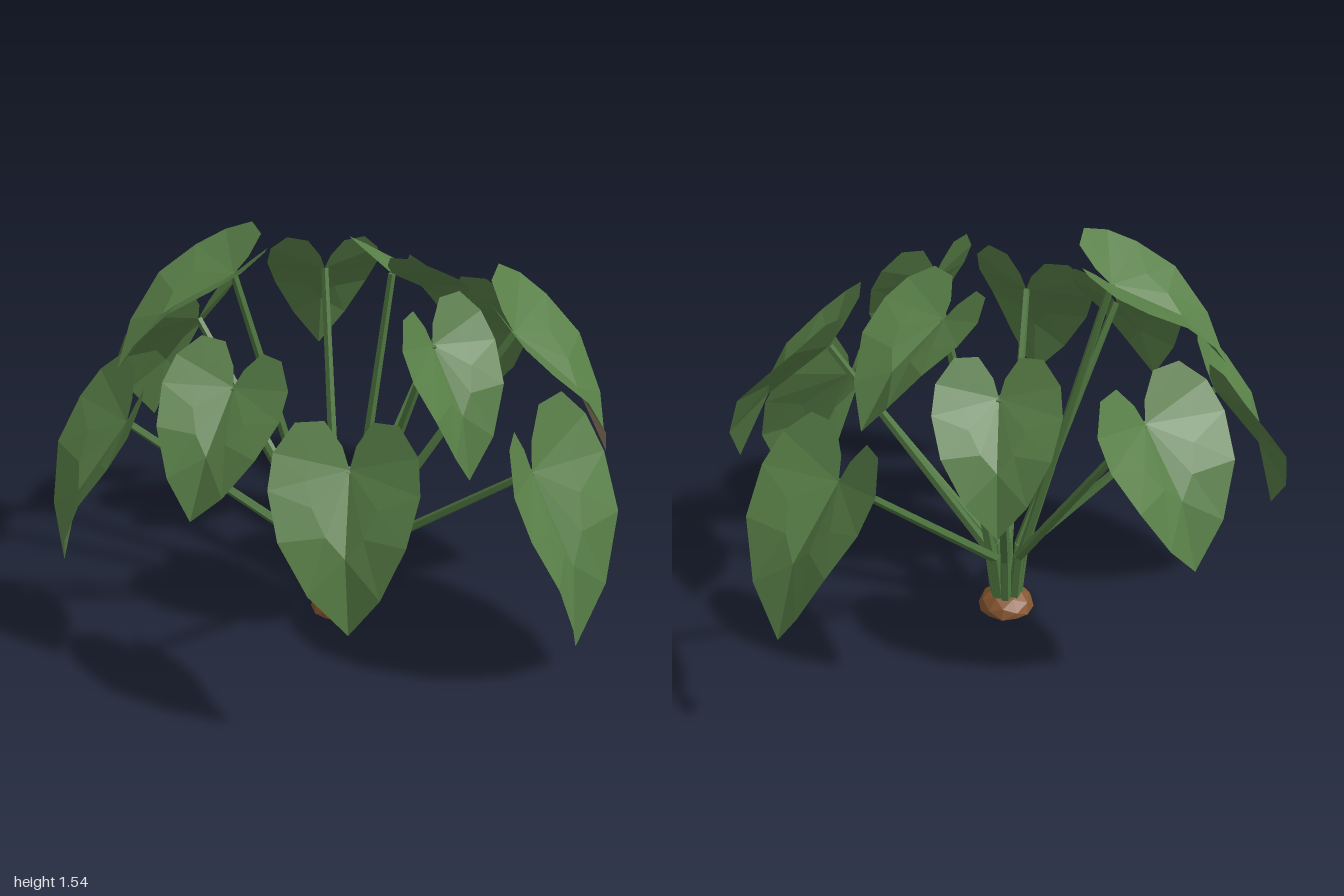
import * as THREE from 'three';

const V = (a) => new THREE.Vector3(...a);

// Half of the heart outline in units of leaf length: [across, along], lobe to tip
const HALF = [[0.04, -0.14], [0.14, -0.29], [0.3, -0.28], [0.42, -0.1], [0.44, 0.12], [0.37, 0.42], [0.21, 0.75], [0, 1]];

// Centre of the crown on the ground
const CENTRE = V([0.01, 0, 0.03]);

// Each leaf: where the stem joins, the tip, and the span from one edge to the other
const LEAVES = [
  { name: 'frontLeaf', joint: [0.02, 1.02, 0.72], tip: [0.01, 0.53, 0.93], span: [0.47, 0.06, 0.11] },
  { name: 'frontLeftLargeLeaf', joint: [0.66, 0.79, 0.37], tip: [0.85, 0.1, 0.45], span: [0.34, 0, -0.53] },
  { name: 'frontLeftSmallLeaf', joint: [0.31, 1.25, 0.31], tip: [0.44, 0.79, 0.42], span: [0.29, 0.03, -0.3] },
  { name: 'leftLeaf', joint: [0.63, 1.13, -0.02], tip: [1.0, 0.64, -0.02], span: [0.05, 0.05, -0.58], dry: true },
  { name: 'backLeftSmallLeaf', joint: [0.2, 1.32, -0.12], tip: [0.45, 1.0, -0.36], span: [-0.3, 0, -0.32] },
  { name: 'backLeftLeaf', joint: [0.47, 0.97, -0.62], tip: [0.66, 0.46, -0.83], span: [-0.4, 0, -0.36] },
  { name: 'backLeaf', joint: [-0.03, 1.21, -0.43], tip: [-0.05, 0.8, -0.64], span: [-0.42, 0, 0.02] },
  { name: 'backRightLeaf', joint: [-0.5, 1.07, -0.3], tip: [-0.7, 0.59, -0.45], span: [-0.36, 0, 0.4] },
  { name: 'rightUpperLeaf', joint: [-0.35, 1.4, 0.05], tip: [-0.76, 1.08, 0.13], span: [0.08, 0.04, 0.48] },
  { name: 'rightOuterLeaf', joint: [-0.73, 0.92, 0.21], tip: [-0.98, 0.4, 0.28], span: [0.17, 0.05, 0.52] },
  { name: 'frontRightLeaf', joint: [-0.35, 1.15, 0.4], tip: [-0.5, 0.75, 0.59], span: [0.45, 0.12, 0.08] },
];

function trianglesMesh(name, points, material) {
  const g = new THREE.BufferGeometry().setFromPoints(points);
  g.computeVertexNormals();
  const mesh = new THREE.Mesh(g, material);
  mesh.name = name;
  return mesh;
}

// Arched heart blade folded up from its midrib, with facets fanning out of the stem joint
function makeBlade({ joint, tip, span, dry }, mats) {
  const origin = V(joint);
  const along = V(tip).sub(origin);
  const length = along.length();
  along.normalize();
  const across = V(span);
  across.addScaledVector(along, -across.dot(along));
  const width = across.length();
  across.normalize();
  const normal = along.clone().cross(across);

  const at = (u, v) => {
    const rise = 0.1 * Math.sin(Math.PI * Math.max(v, 0)) + 0.3 * Math.abs(u);
    return origin.clone()
      .addScaledVector(across, (u * width) / 0.88)
      .addScaledVector(along, v * length)
      .addScaledVector(normal, rise * length);
  };

  const green = [], brown = [];
  for (const side of [1, -1]) {
    const outer = HALF.map(([u, v]) => at(u * side, v));
    const inner = HALF.map(([u, v]) => at(u * side * 0.52, v * 0.52));
    const add = (list, a, b, c) => list.push(...(side > 0 ? [a, b, c] : [a, c, b]));
    for (let i = 0; i < HALF.length - 1; i++) {
      const atTip = i === HALF.length - 2;
      add(green, origin, inner[i + 1], inner[i]);
      add(green, inner[i], inner[i + 1], outer[i]);
      add(dry && atTip && side < 0 ? brown : green, inner[i + 1], outer[i + 1], outer[i]);
    }
  }
  const parts = [trianglesMesh('blade', green, mats.leaf)];
  if (brown.length) parts.push(trianglesMesh('driedTip', brown, mats.dry));
  return parts;
}

// Tapered rod between two points
function rod(a, b, r0, r1, material) {
  const dir = b.clone().sub(a);
  const mesh = new THREE.Mesh(new THREE.CylinderGeometry(r1, r0, dir.length(), 5), material);
  mesh.position.copy(a).add(b).multiplyScalar(0.5);
  mesh.quaternion.setFromUnitVectors(new THREE.Vector3(0, 1, 0), dir.normalize());
  mesh.name = 'stem';
  return mesh;
}

// Faceted dome with a flat underside
function makeRootCrown(material) {
  const g = new THREE.IcosahedronGeometry(1, 1);
  const p = g.attributes.position;
  for (let i = 0; i < p.count; i++) {
    p.setXYZ(i, p.getX(i) * 0.108, Math.max(p.getY(i), 0) * 0.078, p.getZ(i) * 0.108);
  }
  g.computeVertexNormals();
  const mesh = new THREE.Mesh(g, material);
  mesh.position.copy(CENTRE);
  mesh.name = 'rootCrown';
  return mesh;
}

export function createModel() {
  const make = (name, color, extra) => {
    const m = new THREE.MeshStandardMaterial({ color, flatShading: true, ...extra });
    m.name = name;
    return m;
  };
  const mats = {
    leaf: make('leafGreen', 0x587f47, { side: THREE.DoubleSide }),
    dry: make('driedTan', 0x967f62, { side: THREE.DoubleSide }),
    stem: make('stemGreen', 0x4f7640),
    root: make('rootBrown', 0x85552f),
  };

  const plant = new THREE.Group();
  plant.name = 'leafyPlant';
  plant.add(makeRootCrown(mats.root));

  // Leaves, each on a stem that leaves the crown steeply and then leans out
  for (const leaf of LEAVES) {
    const group = new THREE.Group();
    group.name = leaf.name;
    const end = V(leaf.joint);
    const out = end.clone().sub(CENTRE).setY(0).normalize();
    const foot = CENTRE.clone().addScaledVector(out, 0.04).setY(0.04);
    const bend = CENTRE.clone().addScaledVector(out, 0.065).setY(0.26);
    group.add(rod(foot, bend, 0.022, 0.02, mats.stem));
    group.add(rod(bend, end, 0.02, 0.014, mats.stem));
    group.add(...makeBlade(leaf, mats));
    plant.add(group);
  }
  return plant;
}
